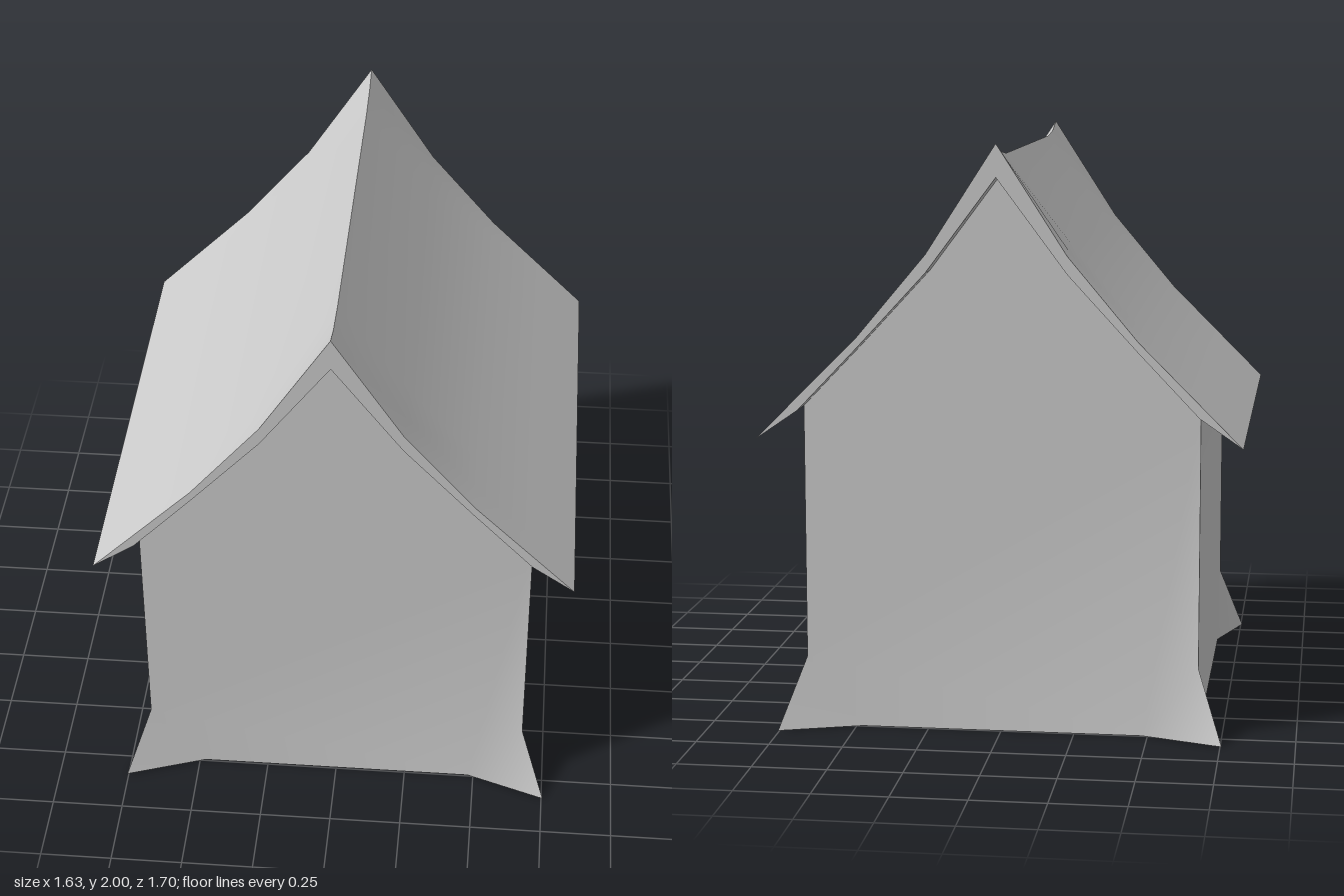
import * as THREE from 'three';
import { toCreasedNormals } from 'three/addons/utils/BufferGeometryUtils.js';

const W = 0.67, D = 0.745;                  // wall half width and half depth
const FLARE_X = 0.755, FLARE_Z = 0.84;      // foot of the corner flares
const FLARE_TOP = 0.24, START_X = 0.48, START_Z = 0.59;

// Right half of the roof, from the eave inwards
const EAVE = [0.815, 1.01];
const UPPER = [[W, 1.155], [0.47, 1.355], [0.235, 1.635]];
const UNDER = [[W, 1.11], [0.47, 1.32], [0.235, 1.575]];
const UNDER_PEAK = 1.89;

const mirror = (pts) => pts.map(([x, y]) => [-x, y]).reverse();

// Fill a counter-clockwise 2D outline and place it in space with map(u, v)
function addPolygon(out, outline, map) {
  const pts = outline.map(([u, v]) => new THREE.Vector2(u, v));
  for (const tri of THREE.ShapeUtils.triangulateShape(pts, []))
    for (const i of tri) out.push(...map(pts[i].x, pts[i].y));
}

function makeMesh(name, positions) {
  const geometry = new THREE.BufferGeometry();
  geometry.setAttribute('position', new THREE.Float32BufferAttribute(positions, 3));
  const material = new THREE.MeshStandardMaterial({ color: 0xcccccc });
  const mesh = new THREE.Mesh(toCreasedNormals(geometry, THREE.MathUtils.degToRad(35)), material);
  mesh.name = name;
  return mesh;
}

function createWalls() {
  const out = [];

  // Gable walls, front and back
  const right = [[START_X, 0], [W, FLARE_TOP], ...UNDER];
  const gable = [...right, [0, UNDER_PEAK], ...mirror(right)];
  addPolygon(out, gable, (u, v) => [u, v, D]);
  addPolygon(out, gable, (u, v) => [-u, v, -D]);

  // Side walls
  const half = [[START_Z, 0], [D, FLARE_TOP], [D, UNDER[0][1]]];
  const side = [...half, ...mirror(half)];
  addPolygon(out, side, (u, v) => [W, v, -u]);
  addPolygon(out, side, (u, v) => [-W, v, u]);

  // Two sloping triangles flare each corner outwards at the foot
  const top = [W, FLARE_TOP, D], foot = [FLARE_X, 0, FLARE_Z];
  const onFront = [START_X, 0, D], onSide = [W, 0, START_Z];
  for (const sx of [1, -1]) for (const sz of [1, -1]) {
    for (const tri of [[onFront, foot, top], [foot, onSide, top]]) {
      const corners = sx * sz > 0 ? tri : [...tri].reverse();
      for (const [x, y, z] of corners) out.push(sx * x, y, sz * z);
    }
  }

  // Underside with its pointed corners
  const quarter = [[W, START_Z], [FLARE_X, FLARE_Z], [START_X, D]];
  const upper = [...quarter, ...mirror(quarter)];
  const floor = [...upper, ...upper.map(([x, z]) => [-x, -z])];
  addPolygon(out, floor, (u, v) => [u, 0, v]);

  return makeMesh('walls', out);
}

function createRoof() {
  const out = [];
  // Closed section, counter-clockwise from the right eave
  const ring = (peak) => [
    EAVE, ...UPPER, [0, peak], ...mirror([EAVE, ...UPPER]),
    ...mirror(UNDER).reverse(), [0, UNDER_PEAK], ...[...UNDER].reverse(),
  ];

  // The ridge sweeps up towards both ends: [z, ridge height]
  const rise = [[-0.85, 2], [-0.75, 1.97], [-0.6, 1.955]];
  const sections = [...rise, ...mirror(rise)];
  for (let k = 0; k < sections.length - 1; k++) {
    const [z0, p0] = sections[k], [z1, p1] = sections[k + 1];
    const r0 = ring(p0), r1 = ring(p1);
    for (let i = 0; i < r0.length; i++) {
      const j = (i + 1) % r0.length;
      const a = [...r0[i], z0], b = [...r0[j], z0], c = [...r1[j], z1], d = [...r1[i], z1];
      out.push(...a, ...b, ...c, ...a, ...c, ...d);
    }
  }

  // Gable ends of the roof
  addPolygon(out, ring(2), (u, v) => [u, v, 0.85]);
  addPolygon(out, ring(2), (u, v) => [-u, v, -0.85]);
  return makeMesh('roof', out);
}

export function createModel() {
  const house = new THREE.Group();
  house.name = 'house';
  house.add(createWalls(), createRoof());
  return house;
}
